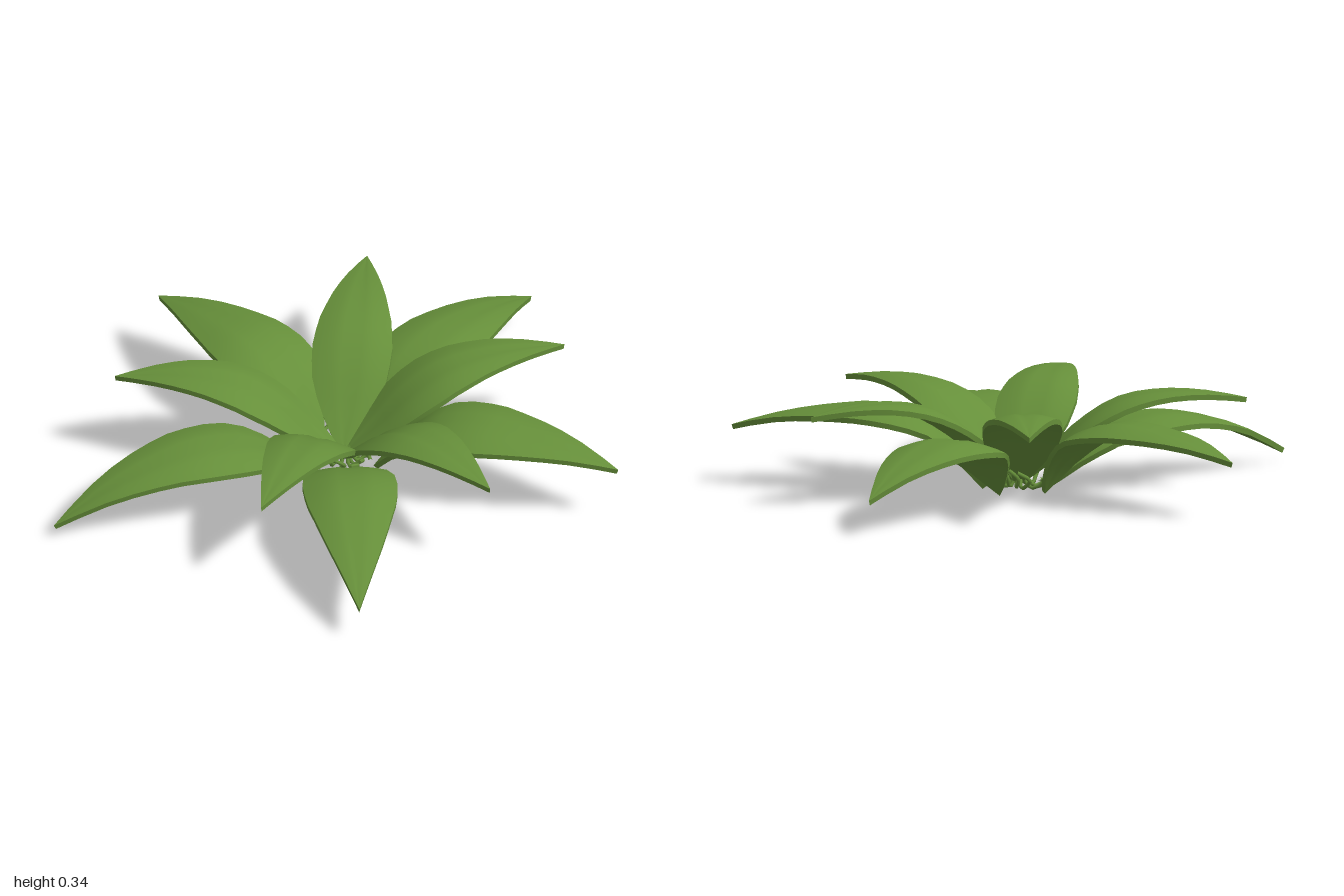
import * as THREE from 'three';

const CENTRE = new THREE.Vector3(0.08, 0, -0.05);
const ROWS = 14, COLS = 8, THICK = 0.018;

const curve = (pts) => new THREE.SplineCurve(pts.map(([x, y]) => new THREE.Vector2(x, y)));

// Half-width along the leaf: narrow foot, widest at a third, pointed tip
const WIDTH = [[0, 0], [0.05, 0.3], [0.15, 0.7], [0.25, 0.95], [0.36, 1], [0.5, 0.91], [0.7, 0.62], [0.86, 0.31], [1, 0]];
function widthAt(u) {
  for (let k = 1; k < WIDTH.length; k++) {
    const [u0, w0] = WIDTH[k - 1], [u1, w1] = WIDTH[k];
    if (u <= u1) return w0 + (w1 - w0) * (u - u0) / (u1 - u0);
  }
  return 0;
}

// Solid arched leaf running from the centre to a tip, following a side profile
function leafGeometry(tip, profile, halfWidth) {
  const dx = tip[0] - CENTRE.x, dz = tip[1] - CENTRE.z;
  const length = Math.hypot(dx, dz), cx = dx / length, cz = dz / length;
  const spine = curve(profile.map(([u, y]) => [u * length, y]));
  const r0 = profile[0][0] * length;

  const point = (i, v, under) => {
    const t = i / ROWS, p = spine.getPoint(t), g = spine.getTangent(t);
    const w = halfWidth * widthAt(i === 0 ? 0 : i === ROWS ? 1 : (p.x - r0) / (length - r0));
    const open = Math.min(1, t * 2);
    const groove = v === 0 ? 0.006 * Math.sin(Math.PI * t) : 0;
    const drop = 1.5 * w * w * v * v * open + groove + (under ? THICK : 0);
    const r = p.x + g.y * drop, y = p.y - g.x * drop;
    return [CENTRE.x + cx * r - cz * w * v, y, CENTRE.z + cz * r + cx * w * v];
  };

  // Upper face, edge, lower face, edge: separate strips keep the rim sharp
  const across = Array.from({ length: COLS + 1 }, (_, j) => -1 + 2 * j / COLS);
  const strips = [
    across.map((v) => [v, false]),
    [[1, false], [1, true]],
    across.map((v) => [-v, true]),
    [[-1, true], [-1, false]],
  ];
  const pos = [], index = [];
  for (const strip of strips) {
    const base = pos.length / 3, n = strip.length;
    for (let i = 0; i <= ROWS; i++) for (const [v, under] of strip) pos.push(...point(i, v, under));
    for (let i = 0; i < ROWS; i++) for (let j = 0; j < n - 1; j++) {
      const a = base + i * n + j, b = a + 1, c = b + n, d = a + n;
      index.push(a, b, c, a, c, d);
    }
  }
  const geo = new THREE.BufferGeometry();
  geo.setAttribute('position', new THREE.Float32BufferAttribute(pos, 3));
  geo.setIndex(index);
  geo.computeVertexNormals();
  return geo;
}

export function createModel() {
  const model = new THREE.Group();
  model.name = 'plant';
  const green = new THREE.MeshStandardMaterial({ color: 0x668f3a });
  green.name = 'leafGreen';

  const add = (name, geo, parent) => {
    const mesh = new THREE.Mesh(geo, green);
    mesh.name = name;
    parent.add(mesh);
  };

  // Inner ring: five short leaves rising steeply, then levelling out
  const inner = new THREE.Group();
  inner.name = 'innerLeaves';
  const innerProfile = [[0, 0.05], [0.14, 0.15], [0.28, 0.255], [0.44, 0.33], [0.62, 0.355], [0.8, 0.35], [1, 0.325]];
  [[0.46, -0.74], [0.87, 0.01], [0.3, 0.71], [-0.46, 0.51], [-0.61, -0.41]].forEach((tip) =>
    add('innerLeaf', leafGeometry(tip, innerProfile, 0.137), inner));

  // Outer ring: five long leaves arching down to tips of differing height
  const outer = new THREE.Group();
  outer.name = 'outerLeaves';
  const outerLeaves = [
    [[-0.22, -0.95], 0.3, 0.21],
    [[0.99, -0.56], 0.265, 0.13],
    [[0.81, 0.62], 0.3, 0.21],
    [[-0.28, 0.94], 0.265, 0.13],
    [[-1, -0.02], 0.24, 0.06],
  ];
  for (const [tip, peak, end] of outerLeaves) {
    const fall = peak - end;
    const profile = [[0.11, 0.025], [0.2, peak * 0.48], [0.32, peak * 0.84], [0.48, peak],
      [0.64, peak - fall * 0.1], [0.82, peak - fall * 0.44], [1, end]];
    add('outerLeaf', leafGeometry(tip, profile, 0.163), outer);
  }

  // Tangle of short thin roots under the rosette
  const roots = new THREE.Group();
  roots.name = 'roots';
  for (let k = 0; k < 14; k++) {
    const a = k * 2.4, reach = 0.09 + 0.05 * ((k * 7) % 5) / 4, lift = 0.05 + 0.07 * ((k * 3) % 4) / 3;
    const at = (r, y, turn) => new THREE.Vector3(
      CENTRE.x + r * Math.cos(a + turn), y, CENTRE.z + r * Math.sin(a + turn));
    const path = new THREE.CatmullRomCurve3([
      at(0.02, 0.07, 0), at(reach * 0.45, 0.03, 0.3), at(reach * 0.8, 0.025 + lift * 0.4, 0.1), at(reach, lift, 0.5)]);
    add('root', new THREE.TubeGeometry(path, 8, 0.007, 5), roots);
  }

  model.add(inner, outer, roots);
  return model;
}
